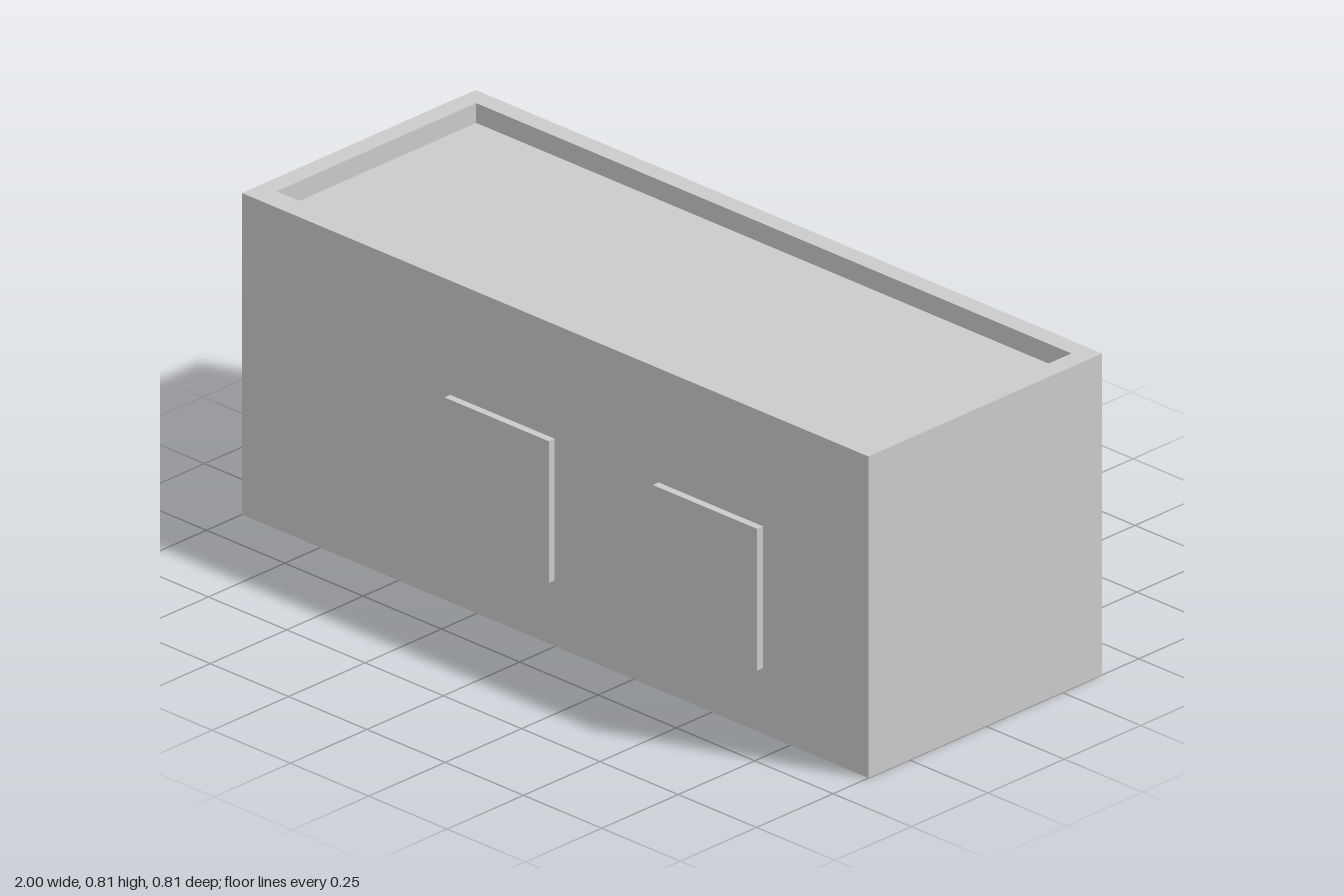
import * as THREE from 'three';

const H = 0.814, ROOF = 0.764;
const FRONT = 0.384, BACK = -0.38;

export function createModel() {
  const building = new THREE.Group();
  building.name = 'building';
  const material = new THREE.MeshStandardMaterial({ color: 0xcccccc });

  // Box given by its limits on each axis
  function addBox(name, [x0, x1], [y0, y1], [z0, z1]) {
    const mesh = new THREE.Mesh(new THREE.BoxGeometry(x1 - x0, y1 - y0, z1 - z0), material);
    mesh.position.set((x0 + x1) / 2, (y0 + y1) / 2, (z0 + z1) / 2);
    mesh.name = name;
    building.add(mesh);
  }

  // Rectangle in plan, with z mapped to -y of the shape
  const rect = (x0, x1, z0, z1) => [[x0, -z1], [x1, -z1], [x1, -z0], [x0, -z0]]
    .map(([x, y]) => new THREE.Vector2(x, y));

  // Outer walls, rising above the roof as a parapet
  const plan = new THREE.Shape(rect(-1, 1, BACK, FRONT));
  plan.holes.push(new THREE.Path(rect(-0.95, 0.95, -0.331, 0.322).reverse()));
  const wallGeometry = new THREE.ExtrudeGeometry(plan, { depth: H, bevelEnabled: false });
  wallGeometry.rotateX(-Math.PI / 2);
  const walls = new THREE.Mesh(wallGeometry, material);
  walls.name = 'walls';
  building.add(walls);

  // Sunken flat roof and the solid core below it
  addBox('roof', [-0.95, 0.95], [0, ROOF], [-0.331, 0.322]);

  // Two windows on the front and two on the back
  for (const [side, x0] of [['Right', -0.335], ['Left', 0.33]]) {
    addBox('frontWindow' + side, [x0, x0 + 0.333], [0.166, 0.525], [FRONT - 0.01, 0.403]);
    addBox('backWindow' + side, [x0, x0 + 0.333], [0.166, 0.525], [-0.4, BACK + 0.01]);
  }

  // Door at the back
  addBox('door', [-0.95, -0.67], [0, 0.525], [-0.403, BACK + 0.01]);

  return building;
}
